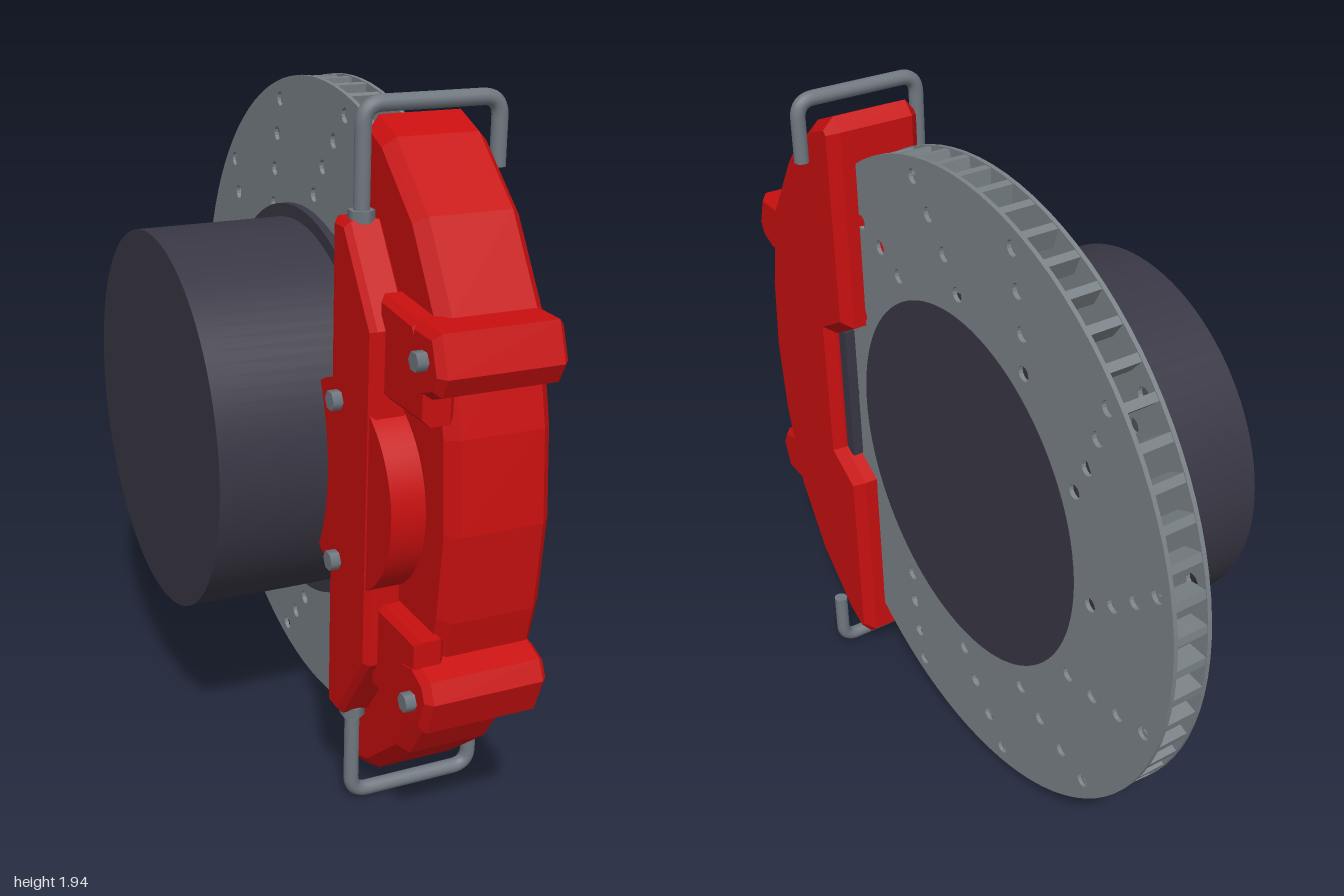
import * as THREE from 'three';

const CY = 0.974, CZ = -0.067; // wheel axis
const mat = (name, color, extra = {}) => Object.assign(new THREE.MeshStandardMaterial({ color, ...extra }), { name });

export function createModel() {
  const red = mat('caliper red', 0xc80f0f);
  const steel = mat('disc steel', 0x7a8287);
  const dark = mat('hub charcoal', 0x393744);
  const pinGrey = mat('pin grey', 0x6f777f);
  const root = new THREE.Group();
  root.name = 'brakeAssembly';

  const add = (name, geo, material, parent = root) => {
    const m = new THREE.Mesh(geo, material);
    m.name = name;
    parent.add(m);
    return m;
  };
  // extrude a shape drawn in (-z, y) along x, from x0 to x1, with chamfered rims
  const sideways = (shape, x0, x1, bevel = 0) => {
    const g = new THREE.ExtrudeGeometry(shape, {
      depth: x1 - x0 - 2 * bevel, curveSegments: 48, bevelEnabled: bevel > 0,
      bevelThickness: bevel, bevelSize: bevel, bevelOffset: -bevel, bevelSegments: 1,
    });
    return g.translate(0, 0, x0 + bevel).rotateY(Math.PI / 2);
  };
  const outline = (pts) => new THREE.Shape(pts.map(([z, y]) => new THREE.Vector2(-z, y)));
  const mirrorY = (pts) => pts.map(([z, y]) => [z, 2 * CY - y]);
  // cylinder whose axis lies along x
  const axle = (r, x0, x1, y, z, sides = 64) =>
    new THREE.CylinderGeometry(r, r, x1 - x0, sides).rotateZ(Math.PI / 2).translate((x0 + x1) / 2, y, z);

  // ventilated disc: two drilled plates joined by short radial vanes
  const disc = new THREE.Group();
  disc.name = 'disc';
  root.add(disc);
  const ring = new THREE.Shape().absarc(-CZ, CY, 0.93, 0, Math.PI * 2);
  const circle = (cx, cy, r, n) => new THREE.Path(Array.from({ length: n }, (_, i) => {
    const a = (-i / n) * Math.PI * 2;
    return new THREE.Vector2(cx + r * Math.cos(a), cy + r * Math.sin(a));
  }));
  ring.holes.push(circle(-CZ, CY, 0.53, 96));
  const swirl = [-0.5, 4.5, 9.2, 13];
  for (let row = 0; row < 12; row++) {
    swirl.forEach((deg, i) => {
      const a = THREE.MathUtils.degToRad(row * 30 + deg), r = 0.604 + 0.091 * i;
      ring.holes.push(circle(-CZ + r * Math.cos(a), CY + r * Math.sin(a), 0.021, 14));
    });
  }
  add('innerPlate', sideways(ring, 0.118, 0.13), steel, disc);
  add('outerPlate', sideways(ring, 0.221, 0.233), steel, disc);
  for (let i = 0; i < 60; i++) {
    const vane = new THREE.BoxGeometry(0.095, 0.06, 0.024).translate(0.1755, 0.897, 0);
    vane.rotateX((i / 60) * Math.PI * 2).translate(0, CY, CZ);
    add('vane', vane, steel, disc);
  }

  // hub drum, its flange and the face plate
  add('hub', axle(0.537, -0.37, 0.129, CY, CZ, 96), dark);
  add('hubFlange', axle(0.575, 0.062, 0.085, CY, CZ, 96), dark);
  add('hubFace', axle(0.535, 0.222, 0.234, CY, CZ, 96), dark);

  // caliper body, symmetric about the wheel axis
  const caliper = new THREE.Group();
  caliper.name = 'caliper';
  root.add(caliper);
  const upper = [[0.56, 1.18], [0.44, 1.25], [0.44, 1.85], [0.475, 1.885], [0.57, 1.845],
    [0.745, 1.69], [0.875, 1.485], [0.94, 1.21]];
  const body = [...upper, [0.96, CY], ...mirrorY(upper).reverse()];
  add('caliperBody', sideways(outline(body), 0.02, 0.302, 0.03), red, caliper);
  add('brakePad', new THREE.BoxGeometry(0.19, 0.44, 0.05).translate(0.17, CY, 0.545), dark, caliper);

  // inboard bracket with the round piston housing
  const half = [[0.485, 1.65], [0.56, 1.65], [0.72, 1.42]];
  add('bracket', sideways(outline([...half, ...mirrorY(half).reverse()]), -0.075, 0.03, 0.015), red, caliper);
  add('pistonHousing', axle(0.275, -0.072, 0.03, CY, 0.565), red, caliper);

  const wirePath = () => {
    const p = (x, y) => new THREE.Vector3(x, y, 0.54);
    const L = -0.023, R = 0.345, T = 1.922, c = 0.05;
    const path = new THREE.CurvePath();
    path.add(new THREE.LineCurve3(p(L, 1.6), p(L, T - c)));
    path.add(new THREE.QuadraticBezierCurve3(p(L, T - c), p(L, T), p(L + c, T)));
    path.add(new THREE.LineCurve3(p(L + c, T), p(R - c, T)));
    path.add(new THREE.QuadraticBezierCurve3(p(R - c, T), p(R, T), p(R, T - c)));
    path.add(new THREE.LineCurve3(p(R, T - c), p(R, 1.75)));
    return path;
  };
  const ear = [[1, 1.385], [0.965, 1.482], [0.85, 1.485], [0.84, 1.33], [0.91, 1.31], [0.975, 1.335]];
  const arm = [[0.68, 1.5], [0.86, 1.482], [0.93, 1.38], [0.93, 1.25], [0.68, 1.25]];

  for (const up of [true, false]) {
    const side = up ? 'upper' : 'lower';
    const flip = (pts) => (up ? pts : mirrorY(pts));
    const y = (v) => (up ? v : 2 * CY - v);
    // mounting ear across the front and the arm behind it
    add(side + 'Ear', sideways(outline(flip(ear)), -0.042, 0.295, 0.018), red, caliper);
    add(side + 'Arm', sideways(outline(flip(arm)), -0.04, 0.04, 0.015), red, caliper);
    // bolts
    add(side + 'EarBolt', axle(0.025, -0.07, -0.03, y(1.41), 0.92, 6), pinGrey, caliper);
    add(side + 'BracketBolt', axle(0.027, -0.102, -0.06, y(1.195), 0.54, 6), pinGrey, caliper);
    // bent retaining wire with its collar and end cap
    const wire = new THREE.Group();
    wire.name = side + 'Wire';
    add('wire', new THREE.TubeGeometry(wirePath(), 90, 0.021, 14), pinGrey, wire);
    add('wireEnd', new THREE.CircleGeometry(0.021, 14).rotateX(Math.PI / 2).translate(0.345, 1.75, 0.54), pinGrey, wire);
    add('collar', new THREE.CylinderGeometry(0.034, 0.034, 0.03, 6).translate(-0.023, 1.657, 0.54), pinGrey, wire);
    if (!up) {
      wire.rotation.x = Math.PI; // turned over, then moved back beside the caliper
      wire.position.set(0, 2 * CY, 1.08);
    }
    caliper.add(wire);
  }
  return root;
}
